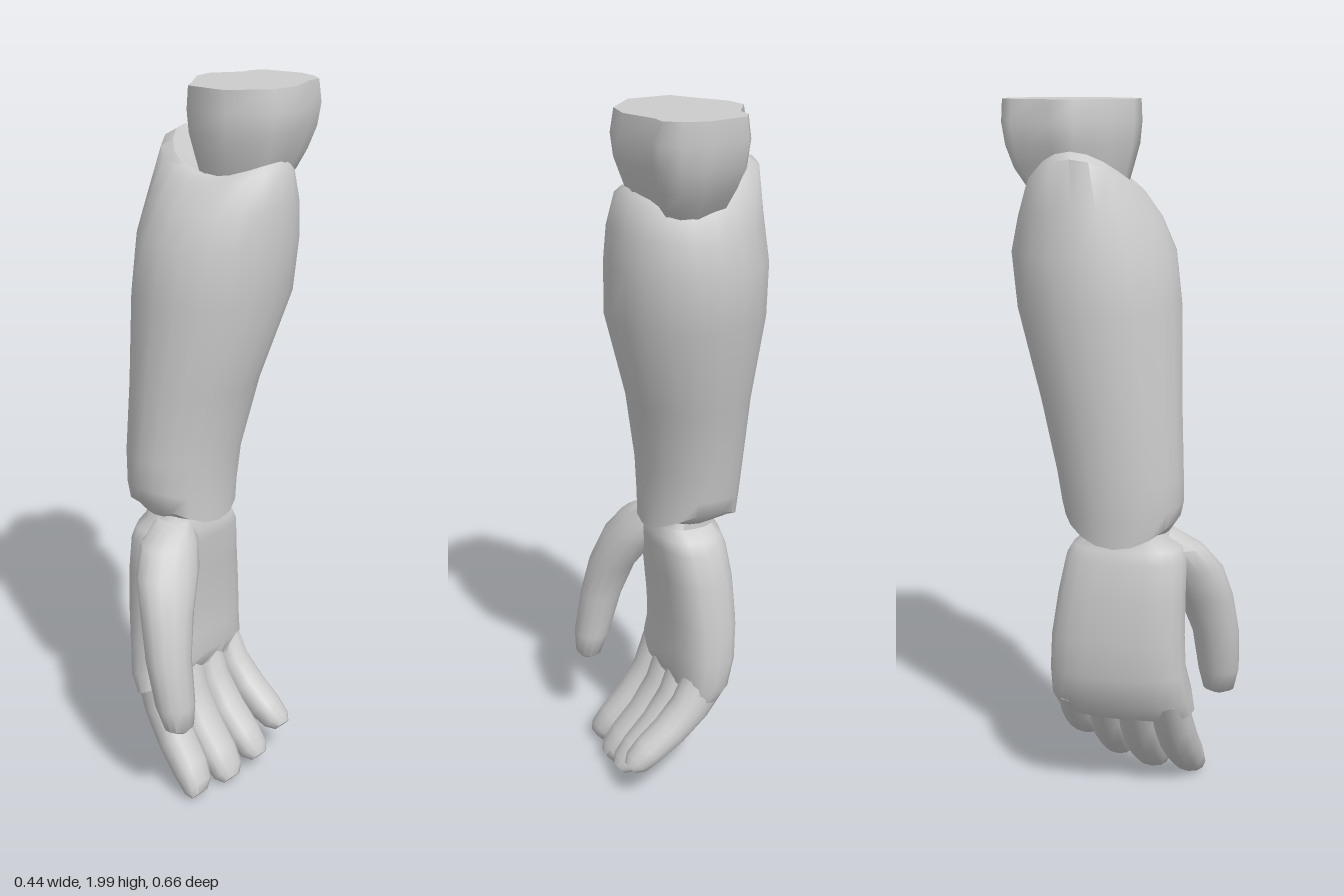
import * as THREE from 'three';
import { toCreasedNormals } from 'three/addons/utils/BufferGeometryUtils.js';

// Unit outline in (x, z); a power below 1 makes it boxier
const oval = (n, power = 1) => Array.from({ length: n }, (_, i) => {
  const a = (i / n) * Math.PI * 2;
  const f = (v) => Math.sign(v) * Math.abs(v) ** power;
  return [f(Math.cos(a)), f(Math.sin(a))];
});

// Skin over sections listed from bottom to top:
// [x, y, z, half width, half depth, tilt in the xy plane, lift along x, saddle lift]
function loft(sections, outline, crease = 0.9) {
  const pos = [], idx = [], n = outline.length;
  for (const [cx, cy, cz, ru, rv, tilt = 0, lift = 0, saddle = 0] of sections) {
    for (const [u, v] of outline) {
      pos.push(
        cx + u * ru * Math.cos(tilt),
        cy + u * ru * Math.sin(tilt) + lift * u + saddle * (u * u - v * v),
        cz + v * rv
      );
    }
  }
  const last = sections.length - 1;
  for (let i = 0; i < last; i++) {
    for (let j = 0; j < n; j++) {
      const a = i * n + j, b = i * n + (j + 1) % n;
      idx.push(a, a + n, b, b, a + n, b + n);
    }
  }
  // end caps
  const bottom = pos.length / 3, top = bottom + 1;
  pos.push(...sections[0].slice(0, 3), ...sections[last].slice(0, 3));
  for (let j = 0; j < n; j++) {
    const k = (j + 1) % n;
    idx.push(bottom, j, k, top, last * n + k, last * n + j);
  }
  const geo = new THREE.BufferGeometry();
  geo.setAttribute('position', new THREE.Float32BufferAttribute(pos, 3));
  geo.setIndex(idx);
  return toCreasedNormals(geo, crease);
}

export function createModel() {
  const group = new THREE.Group();
  group.name = 'arm';
  const grey = new THREE.MeshStandardMaterial({ color: 0xcccccc });
  grey.name = 'plain grey';
  const add = (name, geo) => {
    const mesh = new THREE.Mesh(geo, grey);
    mesh.name = name;
    group.add(mesh);
  };

  // Upper arm stump, cut flat at the top
  const stump = [
    [0.2, -0.14], [0.19, -0.06], [0.11, 0.035], [-0.01, 0.04], [-0.05, -0.02],
    [-0.11, -0.1], [-0.12, -0.16], [-0.07, -0.24], [-0.07, -0.28], [-0.05, -0.31],
    [0.06, -0.33], [0.12, -0.31], [0.16, -0.28], [0.16, -0.24]
  ].map(([x, z]) => [x - 0.04, z + 0.145]);
  add('upperArm', loft([
    [0.03, 1.7, -0.12, 0.55, 0.55],
    [0.04, 1.77, -0.13, 0.76, 0.74],
    [0.04, 1.82, -0.14, 0.88, 0.87],
    [0.04, 1.88, -0.143, 1.02, 0.97],
    [0.04, 1.94, -0.145, 1.07, 1.01],
    [0.04, 2, -0.145, 1, 1]
  ], stump, 1.1));

  // Forearm, swelling below the elbow, with saddle-shaped rims
  add('forearm', loft([
    [-0.04, 0.83, 0.03, 0.09, 0.12],
    [-0.05, 0.845, 0.02, 0.137, 0.163, 0, 0, -0.035],
    [-0.053, 0.9, 0.02, 0.14, 0.172, 0, 0, -0.02],
    [-0.053, 1, 0.013, 0.148, 0.178],
    [-0.037, 1.2, -0.015, 0.168, 0.197],
    [-0.01, 1.45, -0.053, 0.215, 0.227],
    [-0.005, 1.6, -0.07, 0.216, 0.226],
    [0.004, 1.7, -0.082, 0.206, 0.196, 0, -0.01, 0.01],
    [0.005, 1.79, -0.095, 0.19, 0.16, 0, -0.03, 0.032],
    [0.012, 1.81, -0.1, 0.165, 0.138, 0, -0.03, 0.03],
    [0.02, 1.77, -0.11, 0.1, 0.09]
  ], oval(20)));

  // Palm and wrist
  add('palm', loft([
    [-0.025, 0.29, 0.025, 0.06, 0.2, 0.5],
    [-0.045, 0.34, 0.015, 0.085, 0.205, 0.3],
    [-0.058, 0.42, 0.007, 0.092, 0.197, 0.1],
    [-0.06, 0.52, 0.008, 0.097, 0.192],
    [-0.053, 0.65, 0.018, 0.1, 0.182],
    [-0.04, 0.75, 0.028, 0.1, 0.172],
    [-0.035, 0.785, 0.032, 0.095, 0.155],
    [-0.033, 0.81, 0.035, 0.085, 0.115],
    [-0.035, 0.88, 0.03, 0.08, 0.105]
  ], oval(20, 0.75)));

  // Thumb, rooted in the front of the palm
  add('thumb', loft([
    [0.17, 0.27, 0.265, 0.018, 0.022],
    [0.163, 0.285, 0.267, 0.038, 0.046],
    [0.15, 0.35, 0.268, 0.052, 0.06],
    [0.12, 0.48, 0.262, 0.06, 0.068],
    [0.09, 0.6, 0.235, 0.068, 0.08],
    [0.05, 0.7, 0.19, 0.075, 0.1],
    [0.018, 0.77, 0.15, 0.07, 0.09],
    [0, 0.82, 0.11, 0.05, 0.05]
  ], oval(14)));

  // Fingers share one curl: [x, y, thickness, width, tilt] from tip to knuckle
  const curl = [
    [0.172, 0.028, 0.02, 0.5, 0.85],
    [0.158, 0.045, 0.036, 0.85, 0.85],
    [0.122, 0.085, 0.045, 1, 0.82],
    [0.06, 0.15, 0.05, 1.05, 0.78],
    [0, 0.235, 0.058, 1.02, 0.6],
    [-0.045, 0.34, 0.072, 0.95, 0.3]
  ];
  const fingers = [
    // name, tip z, knuckle z, half width, length, x shift
    ['indexFinger', 0.192, 0.15, 0.056, 1.02, 0],
    ['middleFinger', 0.07, 0.055, 0.06, 1.02, 0.015],
    ['ringFinger', -0.04, -0.035, 0.054, 0.93, 0.025],
    ['littleFinger', -0.138, -0.125, 0.05, 0.73, 0.03]
  ];
  for (const [name, tipZ, rootZ, width, length, shift] of fingers) {
    add(name, loft(curl.map(([x, y, t, w, tilt], i) => {
      const k = i / (curl.length - 1);
      return [
        x + shift * (1 - k), 0.34 - (0.34 - y) * length,
        THREE.MathUtils.lerp(tipZ, rootZ, k), t, width * w, tilt
      ];
    }), oval(12, 0.9)));
  }

  return group;
}
